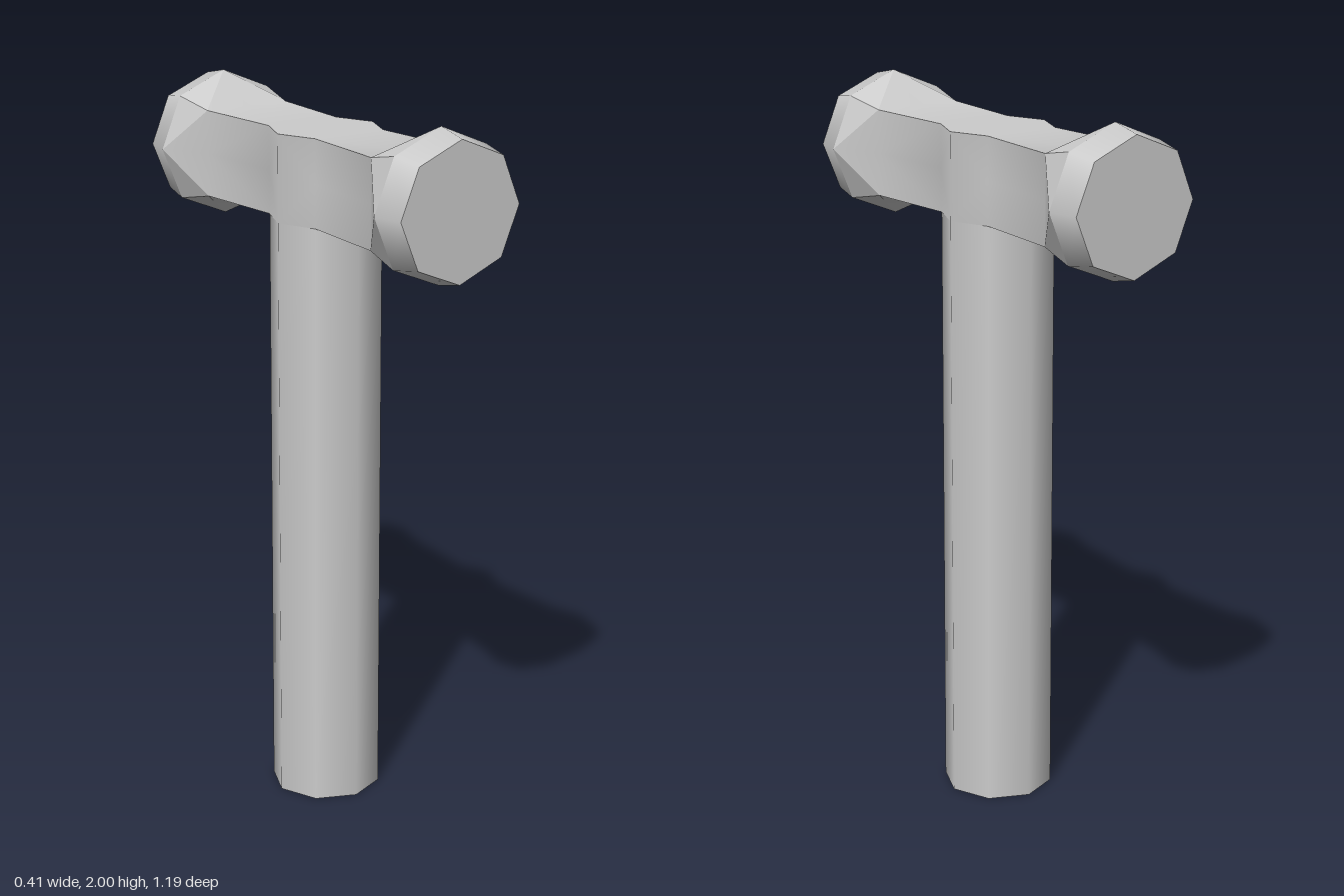
import * as THREE from 'three';
import { mergeGeometries, toCreasedNormals } from 'three/addons/utils/BufferGeometryUtils.js';

const SMOOTH = 0.85; // keeps 45 degree octagon edges soft, square edges sharp
const HEAD_Y = 1.796;

// Eight points round the z axis: a regular octagon, or a rectangle with edge midpoints.
function octagon(z, r) {
  return Array.from({ length: 8 }, (_, i) =>
    [r * Math.cos(i * Math.PI / 4), r * Math.sin(i * Math.PI / 4), z]);
}
function rectangle(z, w, h) {
  return octagon(z, 1).map(([x, y]) => [Math.sign(Math.round(x * 2)) * w, Math.sign(Math.round(y * 2)) * h, z]);
}

// Skins sections in order of z; 'sides' and 'corners' pick one or both triangles of each quad.
function loft(sections, sides = true, corners = true) {
  const pos = [];
  for (let s = 0; s < sections.length - 1; s++) {
    const a = sections[s], b = sections[s + 1];
    for (let i = 0; i < 8; i++) {
      const j = (i + 1) % 8;
      const even = i % 2 === 0;
      if (sides) pos.push(...a[i], ...a[j], ...(even ? b[i] : b[j]));
      if (corners) pos.push(...(even ? a[j] : a[i]), ...b[j], ...b[i]);
    }
  }
  const geo = new THREE.BufferGeometry();
  geo.setAttribute('position', new THREE.Float32BufferAttribute(pos, 3));
  geo.computeVertexNormals();
  return geo;
}

export function createModel() {
  const model = new THREE.Group();
  model.name = 'hammer';
  const material = new THREE.MeshStandardMaterial({ color: 0xcccccc });
  const hollow = new THREE.MeshStandardMaterial({ color: 0xcccccc, side: THREE.DoubleSide });

  const add = (parent, name, geo, mat = material) => {
    const mesh = new THREE.Mesh(geo, mat);
    mesh.name = name;
    parent.add(mesh);
    return mesh;
  };

  // Handle: eight-sided tube, open at the bottom
  const handle = add(model, 'handle', new THREE.CylinderGeometry(0.155, 0.155, 1.68, 8, 1, true), hollow);
  handle.position.y = 0.84;

  const head = new THREE.Group();
  head.name = 'head';
  head.position.y = HEAD_Y;
  model.add(head);

  // Head body: bulge over the handle, tapered arms and the flat flares behind each face
  const h = 0.121;
  const neck = rectangle(0.39, 0.13, h);
  const rim = octagon(0.51, 0.206);
  const half = mergeGeometries([
    loft([rectangle(0, 0.155, h), rectangle(0.11, 0.11, h), neck]),
    loft([neck, rim], true, false),
  ]);
  const body = mergeGeometries([half, half.clone().rotateY(Math.PI)]);
  add(head, 'headBody', toCreasedNormals(body, SMOOTH));

  // Striking ends, the same front and back
  for (const [name, turn] of [['frontEnd', 0], ['backEnd', Math.PI]]) {
    const end = new THREE.Group();
    end.name = name;
    end.rotation.y = turn;
    head.add(end);
    add(end, 'flareCorners', loft([neck, rim], false, true));
    add(end, 'rim', toCreasedNormals(loft([rim, octagon(0.597, 0.187)]), SMOOTH));
    add(end, 'strikingFace', new THREE.CircleGeometry(0.187, 8)).position.z = 0.597;
  }

  return model;
}
